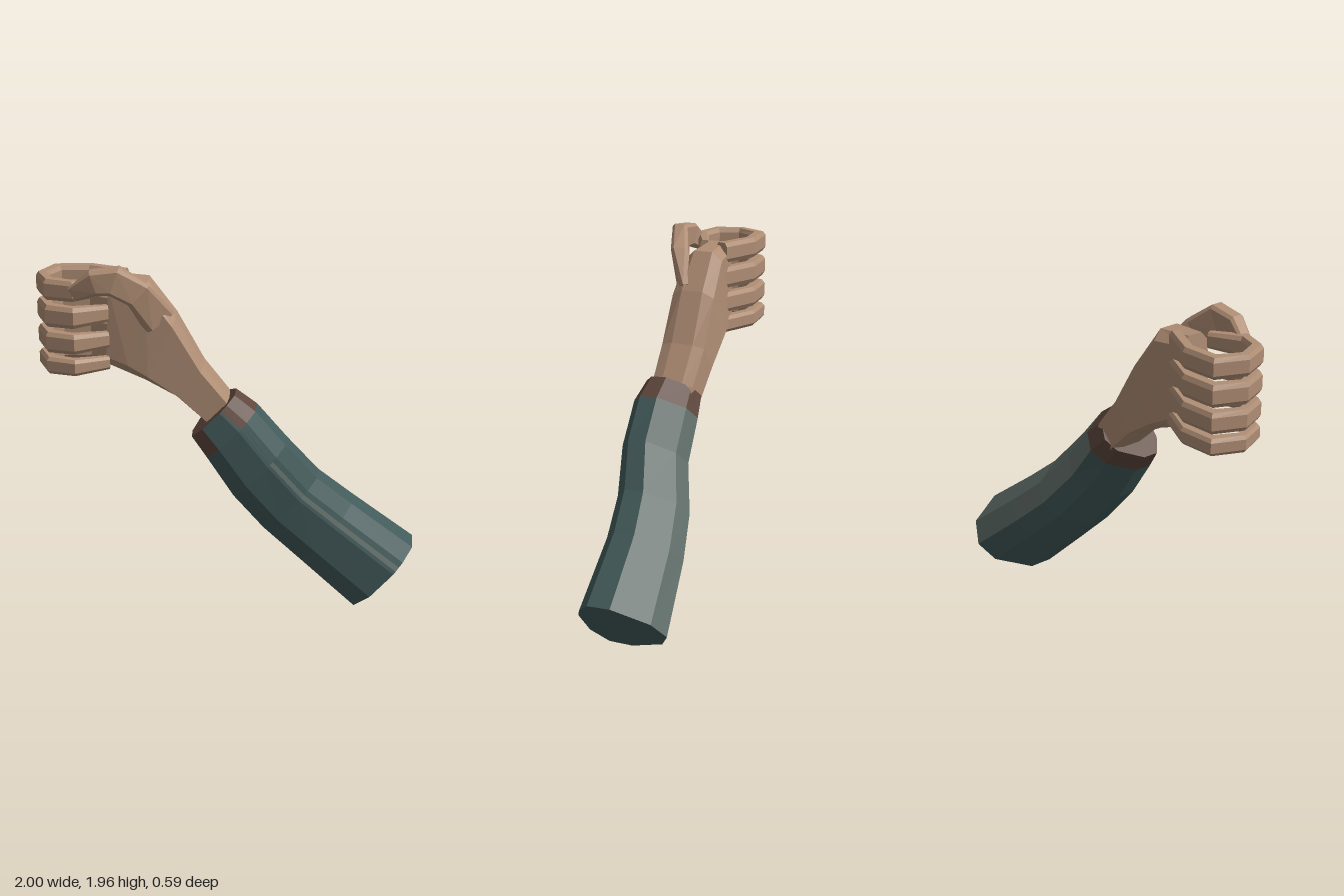
import * as THREE from 'three';

const mat = (name, color) => {
  const m = new THREE.MeshStandardMaterial({ color, flatShading: true });
  m.name = name;
  return m;
};
const V = (x, y, z) => new THREE.Vector3(x, y, z);

// Lofts a [u, w] profile through stations {o, U, W}; point = o + u*U + w*W.
// colourOf(row, sector) picks the material index; ends are capped.
function loft(name, profile, stations, materials, colourOf = () => 0, caps = [0, 0]) {
  const rings = stations.map(s => profile.map(([u, w]) =>
    s.o.clone().addScaledVector(s.U, u).addScaledVector(s.W, w)));
  const n = profile.length;
  const buckets = materials.map(() => []);
  for (let r = 0; r < rings.length - 1; r++) {
    for (let i = 0; i < n; i++) {
      const j = (i + 1) % n;
      const a = rings[r][i], b = rings[r][j], c = rings[r + 1][j], d = rings[r + 1][i];
      buckets[colourOf(r, i)].push([a, b, c], [a, c, d]);
    }
  }
  const last = rings[rings.length - 1];
  for (let i = 1; i < n - 1; i++) {
    buckets[caps[0]].push([rings[0][0], rings[0][i + 1], rings[0][i]]);
    buckets[caps[1]].push([last[0], last[i], last[i + 1]]);
  }
  // Signed volume decides the facing, so that all faces point outward
  let volume = 0;
  const origin = rings[0][0];
  buckets.flat().forEach(([a, b, c]) => {
    const p = a.clone().sub(origin), q = b.clone().sub(origin), s = c.clone().sub(origin);
    volume += p.dot(q.cross(s));
  });
  const geo = new THREE.BufferGeometry();
  const pos = [];
  buckets.forEach((tris, k) => {
    geo.addGroup(pos.length / 3, tris.length * 3, k);
    tris.forEach(([a, b, c]) => (volume < 0 ? [a, c, b] : [a, b, c])
      .forEach(p => pos.push(p.x, p.y, p.z)));
  });
  geo.setAttribute('position', new THREE.Float32BufferAttribute(pos, 3));
  geo.computeVertexNormals();
  const mesh = new THREE.Mesh(geo, materials.length > 1 ? materials : materials[0]);
  mesh.name = name;
  return mesh;
}

// Station from a low and a high edge point in the xy plane and a z range
const slab = ([lx, ly, hx, hy, z0, z1]) =>
  ({ o: V(lx, ly, z0), U: V(hx - lx, hy - ly, 0), W: V(0, 0, z1 - z0) });

// Rectangle with chamfered corners
const chamfered = (c, d) => [[0, d], [0, 1 - d], [c, 1], [1 - c, 1], [1, 1 - d], [1, d], [1 - c, 0], [c, 0]];

export function createModel() {
  const skin = mat('skin', 0xb08e75);
  const leather = mat('brown cuff', 0x5f473d);
  const teal = mat('teal cloth', 0x435a5a);
  const grey = mat('grey cloth', 0x626f6a);
  const model = new THREE.Group();
  model.name = 'forearmAndFist';

  // Sleeve: irregular tube with a grey back strip and a narrow front streak
  const sleeveProfile = [
    [0.64, 1], [0.25, 1], [0, 0.85], [0, 0.57], [0.25, 0.13], [0.5, 0], [0.78, 0.1],
    [1, 0.5], [0.97, 0.78], [0.8, 0.93], [0.735, 0.96], [0.68, 0.985],
  ];
  const sleeve = [
    [-0.12, 0.92, 0.14, 1.18, -0.11, 0.25],
    [0.02, 0.70, 0.30, 0.99, -0.12, 0.245],
    [0.18, 0.49, 0.47, 0.78, -0.20, 0.195],
    [0.38, 0.29, 0.66, 0.62, -0.25, 0.17],
    [0.68, 0.005, 1.0, 0.36, -0.30, 0.17],
  ].map(slab);
  model.add(loft('sleeve', sleeveProfile, sleeve, [teal, grey],
    (r, i) => (i === 5 || i === 6 || (i === 10 && r > 0) ? 1 : 0)));

  // Cuff: brown ring at the wrist with a cloth flap on the front and the top
  const cuff = [[-0.20, 1.03, 0.03, 1.26, -0.09, 0.22], [-0.12, 0.92, 0.14, 1.18, -0.11, 0.25]].map(slab);
  model.add(loft('cuff', sleeveProfile, cuff, [leather, teal],
    (r, i) => (i === 0 || i === 11 ? 1 : 0)));

  // Wrist and palm
  const palm = [
    [-0.07, 1.01, 0.05, 1.13, -0.06, 0.16],
    [-0.13, 1.09, 0.0, 1.22, -0.07, 0.165],
    [-0.28, 1.23, -0.14, 1.40, -0.075, 0.17],
    [-0.44, 1.32, -0.28, 1.66, -0.07, 0.17],
    [-0.54, 1.36, -0.42, 1.85, -0.06, 0.15],
    [-0.645, 1.40, -0.62, 1.87, -0.04, 0.12],
  ].map(slab);
  model.add(loft('palm', chamfered(0.1, 0.25), palm, [skin]));

  // Fingers: four curled loops; each row is inner x, z, outer x, z, height scale
  const curl = [
    [-0.55, 0.02, -0.53, -0.05, 1],
    [-0.74, -0.07, -0.73, -0.14, 1],
    [-0.88, -0.06, -0.93, -0.125, 1],
    [-0.935, 0.04, -1.0, 0.04, 1],
    [-0.89, 0.14, -0.94, 0.19, 1],
    [-0.80, 0.17, -0.79, 0.24, 0.95],
    [-0.64, 0.10, -0.62, 0.145, 0.75],
  ];
  const fingers = [['index', 1.825, 0.11], ['middle', 1.685, 0.115], ['ring', 1.545, 0.11], ['little', 1.42, 0.09]];
  fingers.forEach(([name, y, h]) => {
    const stations = curl.map(([ix, iz, ox, oz, s]) => ({
      o: V(ix, y - h * s / 2, iz), U: V(0, h * s, 0), W: V(ox - ix, 0, oz - iz),
    }));
    model.add(loft(name + 'Finger', chamfered(0.2, 0.2), stations, [skin]));
  });

  // Thumb: low point, high point, then the thickness vector toward the outside
  const thumb = [
    [-0.45, 1.60, 0.12, -0.32, 1.69, 0.05, 0.04, 0.07],
    [-0.53, 1.76, 0.17, -0.43, 1.86, 0.14, 0.03, 0.09],
    [-0.60, 1.82, 0.20, -0.55, 1.96, 0.195, 0.0, 0.09],
    [-0.66, 1.82, 0.20, -0.70, 1.94, 0.195, 0.0, 0.085],
    [-0.76, 1.78, 0.18, -0.80, 1.85, 0.18, -0.015, 0.06],
  ].map(([lx, ly, lz, hx, hy, hz, wx, wz]) =>
    ({ o: V(lx, ly, lz), U: V(hx - lx, hy - ly, hz - lz), W: V(wx, 0, wz) }));
  model.add(loft('thumb', chamfered(0.12, 0.18), thumb, [skin]));

  return model;
}
